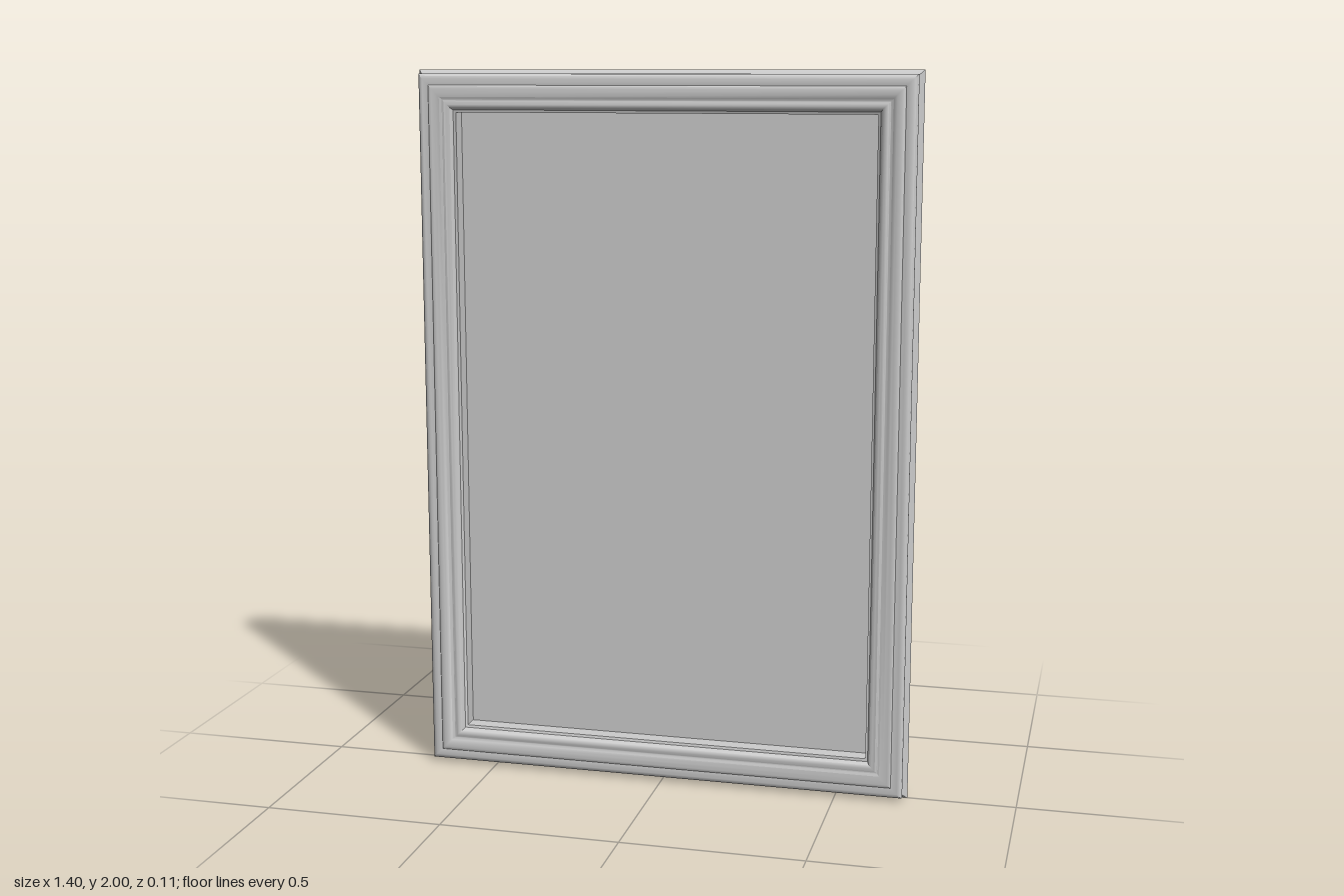
import * as THREE from 'three';
import { toCreasedNormals } from 'three/addons/utils/BufferGeometryUtils.js';

const HALF_W = 0.7, HALF_H = 1;

// Half of the moulding section: [distance in from the outer edge, depth]
const HALF_PROFILE = [
  [0, 0], [0.003, 0.006], [0.01, 0.013], [0.019, 0.02], [0.021, 0.025],
  [0.014, 0.028], [0.011, 0.034], [0.012, 0.041], [0.017, 0.047], [0.025, 0.05],
  [0.037, 0.05], [0.042, 0.049], [0.045, 0.053], [0.052, 0.055], [0.064, 0.055],
  [0.074, 0.052], [0.08, 0.047], [0.083, 0.047], [0.087, 0.05], [0.095, 0.051],
  [0.103, 0.048], [0.107, 0.042], [0.109, 0.036], [0.116, 0.033],
];

// Sweep the closed section around the rectangle with mitred corners
function frameGeometry() {
  const back = HALF_PROFILE.slice(1).reverse().map(([d, z]) => [d, -z]);
  const profile = [...HALF_PROFILE, ...back];
  const corners = [[-1, -1], [1, -1], [1, 1], [-1, 1]];
  const n = profile.length;
  const positions = [], index = [];
  for (const [sx, sy] of corners)
    for (const [d, z] of profile)
      positions.push(sx * (HALF_W - d), HALF_H + sy * (HALF_H - d), z);
  for (let c = 0; c < 4; c++) {
    for (let i = 0; i < n; i++) {
      const next = ((c + 1) % 4) * n, j = (i + 1) % n;
      const a = c * n + i, b = next + i, e = next + j, f = c * n + j;
      index.push(a, b, e, a, e, f);
    }
  }
  const geometry = new THREE.BufferGeometry();
  geometry.setAttribute('position', new THREE.Float32BufferAttribute(positions, 3));
  geometry.setIndex(index);
  return toCreasedNormals(geometry, 0.75);
}

export function createModel() {
  const group = new THREE.Group();
  group.name = 'framedPanel';
  const material = new THREE.MeshStandardMaterial({ color: 0xcccccc });

  // Moulded frame
  const frame = new THREE.Mesh(frameGeometry(), material);
  frame.name = 'frame';
  group.add(frame);

  // Flat panel, set towards the back of the frame
  const panel = new THREE.Mesh(
    new THREE.BoxGeometry(2 * (HALF_W - 0.112), 2 * (HALF_H - 0.112), 0.012), material);
  panel.name = 'panel';
  panel.position.set(0, HALF_H, -0.018);
  group.add(panel);

  return group;
}
